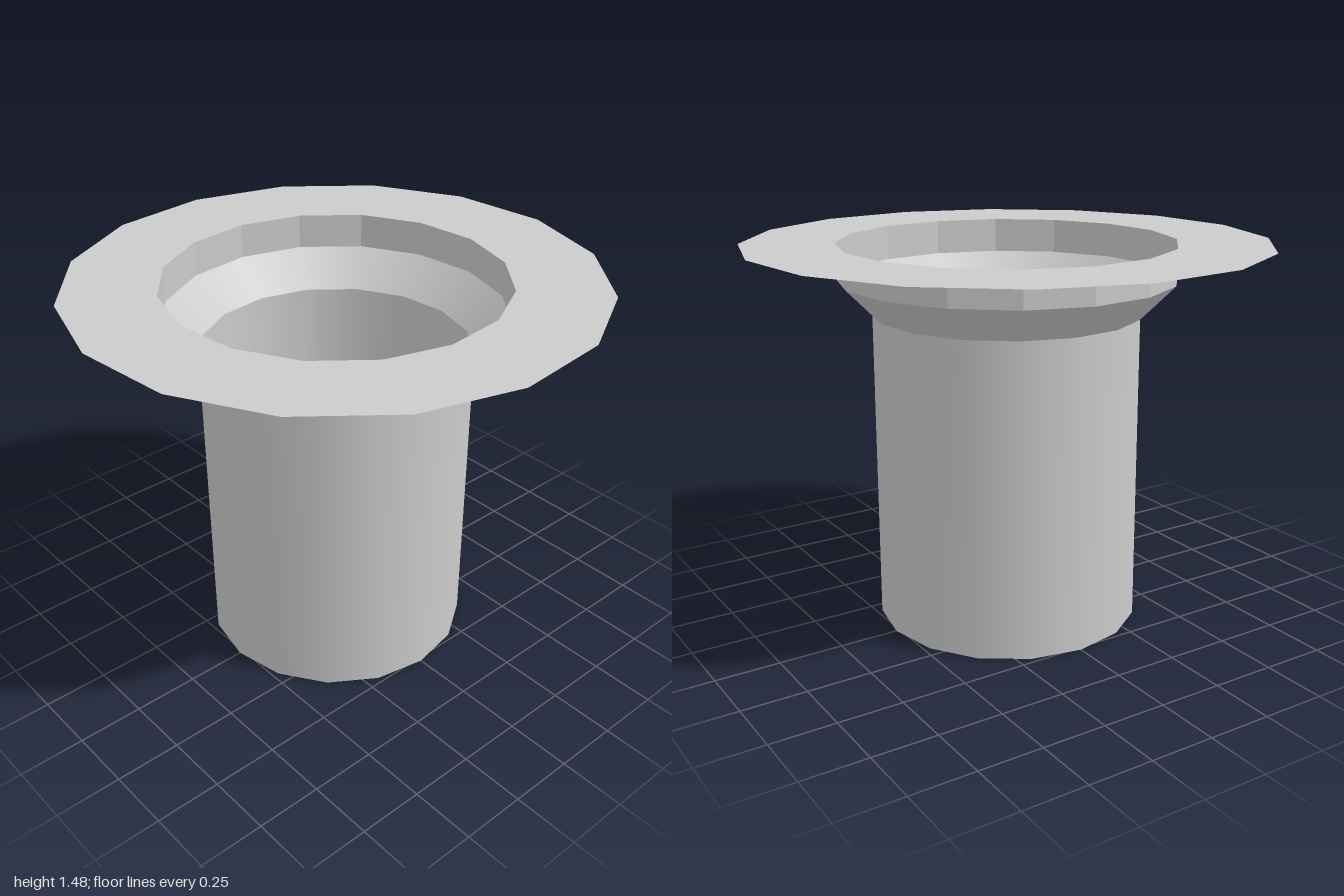
import * as THREE from 'three';

const SIDES = 16;
const TURN = THREE.MathUtils.degToRad(5.5); // corners sit slightly off the axes
const TUBE_R = 0.516, RIM_R = 0.648, FLANGE_R = 1.004;
const NECK_Y = 1.213, RIM_Y = 1.347, TOP_Y = 1.483;

const smooth = new THREE.MeshStandardMaterial({ color: 0xcccccc, side: THREE.DoubleSide });
const faceted = new THREE.MeshStandardMaterial({ color: 0xcccccc, side: THREE.DoubleSide, flatShading: true });

// Open wall between two heights
function wall(rTop, rBottom, yTop, yBottom) {
  const g = new THREE.CylinderGeometry(rTop, rBottom, yTop - yBottom, SIDES, 1, true, -TURN);
  return g.translate(0, (yTop + yBottom) / 2, 0);
}

// Turns the lowest ring of a wall about the vertical axis
function twistBottom(g, angle) {
  const up = new THREE.Vector3(0, 1, 0), v = new THREE.Vector3();
  const { position, normal } = g.attributes;
  for (let i = 0; i < position.count; i++) {
    if (position.getY(i) > 0.01) continue;
    for (const attr of [position, normal]) {
      v.fromBufferAttribute(attr, i).applyAxisAngle(up, angle);
      attr.setXYZ(i, v.x, v.y, v.z);
    }
  }
  return g;
}

export function createModel() {
  const model = new THREE.Group();
  model.name = 'flangedCup';
  const add = (name, geometry, material = smooth) => {
    const mesh = new THREE.Mesh(geometry, material);
    mesh.name = name;
    model.add(mesh);
  };

  // Closed floor, thin tube with a slight twist, and flared neck
  add('floor', new THREE.CircleGeometry(TUBE_R, SIDES).rotateX(Math.PI / 2));
  add('tube', twistBottom(wall(TUBE_R, TUBE_R, NECK_Y, 0), TURN));
  add('neck', wall(RIM_R, TUBE_R, RIM_Y, NECK_Y));

  // Upright faceted rim carrying the flat flange
  add('rim', wall(RIM_R, RIM_R, TOP_Y, RIM_Y), faceted);
  add('flange', new THREE.RingGeometry(RIM_R, FLANGE_R, SIDES, 1, -TURN)
    .rotateX(-Math.PI / 2).translate(0, TOP_Y, 0));

  return model;
}
